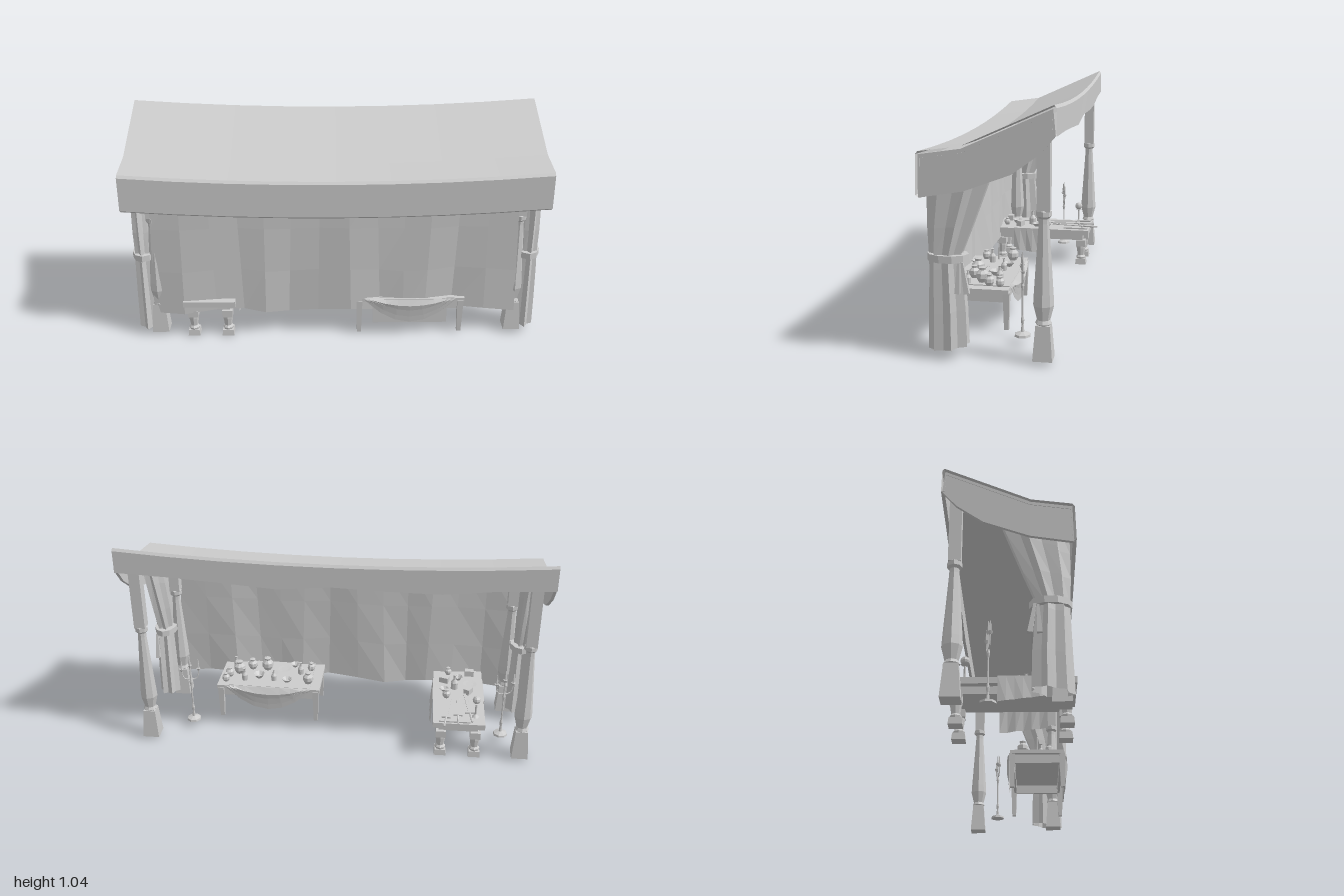
import * as THREE from 'three';

const mat = new THREE.MeshStandardMaterial({ color: 0xcccccc, flatShading: true, side: THREE.DoubleSide });

function add(parent, name, geo, x = 0, y = 0, z = 0) {
  const m = new THREE.Mesh(geo, mat);
  m.name = name;
  m.position.set(x, y, z);
  parent.add(m);
  return m;
}
function group(parent, name, x = 0, y = 0, z = 0) {
  const g = new THREE.Group();
  g.name = name;
  g.position.set(x, y, z);
  parent.add(g);
  return g;
}
const box = (w, h, d) => new THREE.BoxGeometry(w, h, d);
// square block, w0 wide at the bottom and w1 at the top, sides along the axes
const taper = (w0, w1, h) =>
  new THREE.CylinderGeometry(w1 * Math.SQRT1_2, w0 * Math.SQRT1_2, h, 4).rotateY(Math.PI / 4);
const lathe = (pts, n = 8) => new THREE.LatheGeometry(pts.map(p => new THREE.Vector2(...p)), n);

// skin between equal-length cross-sections
function loft(rows, closed) {
  const n = rows[0].length, idx = [];
  for (let i = 0; i < rows.length - 1; i++)
    for (let j = 0; j < (closed ? n : n - 1); j++) {
      const a = i * n + j, b = i * n + (j + 1) % n;
      idx.push(a, b, a + n, b, b + n, a + n);
    }
  const g = new THREE.BufferGeometry();
  g.setAttribute('position', new THREE.Float32BufferAttribute(rows.flat(2), 3));
  g.setIndex(idx);
  g.computeVertexNormals();
  return g;
}

// sagging canopy with a deep valance on every side
function canopy(root) {
  const g = group(root, 'canopy');
  const profile = [[-0.275, 0.92], [-0.273, 1.025], [-0.264, 1.037], [0.095, 0.875], [0.262, 0.852], [0.272, 0.84],
    [0.275, 0.68], [0.258, 0.668], [0.255, 0.825], [0.09, 0.85], [-0.255, 1.005], [-0.26, 0.92]];
  const rows = [];
  for (let i = 0; i <= 8; i++) {
    const t = -1 + i / 4, sag = 0.038 * (1 - t * t);
    rows.push(profile.map(([z, y], j) => {
      const hem = j === 0 || j === 11 ? 0.014 * Math.sin(i * 2.1) * (1 - t * t) : 0; // uneven back hem
      return [t * 0.99, y - sag + hem, z];
    }));
  }
  add(g, 'canopyRoof', loft(rows, true));
  const end = new THREE.Shape([[0.265, 0.67], [0.262, 0.84], [0.093, 0.865], [-0.26, 1.022],
    [-0.27, 0.92], [-0.21, 0.85], [-0.1, 0.77], [0.087, 0.7]].map(([z, y]) => new THREE.Vector2(-z, y)));
  for (const x of [-0.988, 0.974]) {
    const cap = add(g, 'endValance', new THREE.ExtrudeGeometry(end, { depth: 0.014, bevelEnabled: false }), x);
    cap.rotation.y = Math.PI / 2;
  }
}

// turned post with square plinth and square head
function post(root, name, x, z, top) {
  const g = group(root, name, x, 0, z);
  add(g, 'plinth', taper(0.08, 0.058, 0.145), 0, 0.0875, 0);
  add(g, 'baluster', lathe([[0.024, 0.155], [0.034, 0.165], [0.027, 0.18], [0.042, 0.24], [0.04, 0.28],
    [0.021, 0.57], [0.021, 0.59], [0.031, 0.6], [0.031, 0.62], [0.02, 0.63]]));
  add(g, 'postHead', box(0.052, top - 0.62, 0.052), 0, (top + 0.62) / 2, 0);
}

// pleated side curtain gathered by a tie
function curtain(root, side) {
  const g = group(root, 'sideCurtain');
  const levels = [[0.83, -0.07, 0.25, 0.042], [0.7, -0.02, 0.25, 0.046], [0.55, 0.05, 0.25, 0.046],
    [0.43, 0.1, 0.245, 0.042], [0.38, 0.1, 0.245, 0.046], [0.2, 0.085, 0.25, 0.052], [0.045, 0.08, 0.255, 0.054]];
  const rows = levels.map(([y, z0, z1, t]) => Array.from({ length: 14 }, (_, j) => {
    const a = j / 14 * Math.PI * 2, r = j % 2 ? 0.76 : 1, c = Math.cos(a);
    return [side * (0.92 + t * r * Math.sin(a)), y - c * (y > 0.6 ? 0.045 : 0.012), (z0 + z1) / 2 + (z1 - z0) / 2 * c * r];
  }));
  add(g, 'curtainCloth', loft(rows, true));
  const tie = add(g, 'curtainTie', new THREE.CylinderGeometry(1, 1, 0.03, 10), side * 0.915, 0.42, 0.168);
  tie.scale.set(0.056, 1, 0.085);
  for (const dz of [0, 0.025]) {
    const tail = add(g, 'tieTail', taper(0.022, 0.01, 0.13), side * 0.95, 0.345, 0.095 + dz);
    tail.rotation.x = 0.15 - dz * 8;
  }
}

// hanging sheet in front of the low posts, with uneven broad folds
function backdrop(root) {
  const geo = new THREE.PlaneGeometry(1.7, 0.66, 13, 3);
  const p = geo.attributes.position;
  for (let i = 0; i < p.count; i++) {
    const x = p.getX(i), d = 0.5 - p.getY(i) / 0.66;
    p.setX(i, x + 0.025 * d * Math.sin(x * 9));
    p.setZ(i, 0.014 * (Math.sin(x * 17 + d) + 0.5 * Math.sin(x * 41)) * (0.25 + 0.75 * d));
    p.setY(i, p.getY(i) + d * 0.012 * Math.sin(x * 11 + 1));
  }
  add(root, 'backdropSheet', geo, -0.01, 0.46, 0.24);
}

// three-armed candle stand
function candleStand(root, x, z) {
  const g = group(root, 'candleStand', x, 0.035, z);
  g.rotation.y = Math.PI / 6;
  add(g, 'standStem', lathe([[0, 0], [0.036, 0], [0.034, 0.01], [0.008, 0.02], [0.005, 0.05], [0.008, 0.07],
    [0.004, 0.09], [0.004, 0.2], [0.008, 0.22], [0.004, 0.24], [0.004, 0.31], [0, 0.31]]));
  for (const s of [-1, 1]) {
    const arm = new THREE.QuadraticBezierCurve3(new THREE.Vector3(0, 0.24, 0),
      new THREE.Vector3(s * 0.04, 0.22, s * 0.012), new THREE.Vector3(s * 0.04, 0.29, s * 0.012));
    add(g, 'standArm', new THREE.TubeGeometry(arm, 5, 0.003, 5));
  }
  for (const s of [-1, 0, 1]) {
    const y = s ? 0.29 : 0.31;
    add(g, 'candleCup', new THREE.CylinderGeometry(0.011, 0.005, 0.012, 6), s * 0.04, y, s * 0.012);
    add(g, 'candle', new THREE.CylinderGeometry(0.002, 0.006, 0.05, 6), s * 0.04, y + 0.03, s * 0.012);
  }
}

// small wares
const wares = {
  jar: () => lathe([[0, 0], [0.015, 0], [0.025, 0.018], [0.024, 0.035], [0.012, 0.047], [0.015, 0.056], [0, 0.058]]),
  bottle: () => lathe([[0, 0], [0.015, 0], [0.016, 0.03], [0.006, 0.045], [0.005, 0.062], [0.008, 0.066], [0, 0.066]]),
  bowl: () => lathe([[0, 0], [0.012, 0], [0.028, 0.02], [0.024, 0.02], [0.01, 0.007], [0, 0.007]]),
  plate: () => lathe([[0, 0], [0.02, 0], [0.033, 0.007], [0.018, 0.006], [0, 0.006]], 10),
  chest: () => box(0.045, 0.03, 0.03).translate(0, 0.015, 0),
};
function place(g, y, list) {
  list.forEach(([kind, x, z, s = 1], i) => {
    const m = add(g, kind, wares[kind](), x, y, z);
    m.scale.setScalar(s);
    m.rotation.y = i * 0.7;
  });
}

// plain long table with swagged cloth
function longTable(root) {
  const g = group(root, 'longTable', 0.355, 0, 0.115);
  add(g, 'tableTop', box(0.53, 0.018, 0.265), 0, 0.185, 0);
  for (const s of [-1, 1]) {
    add(g, 'longApron', box(0.47, 0.045, 0.012), 0, 0.155, s * 0.115);
    add(g, 'endApron', box(0.012, 0.045, 0.23), s * 0.24, 0.155, 0);
    for (const t of [-1, 1]) add(g, 'tableLeg', taper(0.02, 0.03, 0.17), s * 0.245, 0.095, t * 0.122);
    // each layer hangs in a deeper arc
    for (let k = 0; k < 3; k++) {
      const half = 0.215 - k * 0.02, rows = [];
      for (let i = 0; i <= 6; i++) {
        const t = -1 + i / 3, drop = (1 - t * t) * (0.055 + (2 - k) * 0.03) + 0.012;
        const bulge = 0.004 + k * 0.004 + 0.007 * (1 - t * t);
        rows.push([[t * half, 0.197, s * 0.1], [t * half, 0.197, s * 0.135], [t * half, 0.197 - drop * 0.5, s * (0.135 + bulge)],
          [t * half, 0.197 - drop, s * (0.134 + bulge * 0.7)]]);
      }
      add(g, 'clothSwag', loft(rows, false));
    }
  }
  add(g, 'tableCloth', box(0.43, 0.005, 0.26), 0, 0.196, 0);
  add(g, 'clothPanel', box(0.36, 0.13, 0.004), 0, 0.13, 0.136);
  place(g, 0.198, [['jar', -0.2, -0.07, 1.1], ['bottle', -0.15, 0.02], ['jar', -0.2, 0.06, 0.8], ['bowl', -0.09, -0.07],
    ['plate', -0.06, 0.05, 1.1], ['bottle', -0.02, -0.06, 0.9], ['jar', 0.03, 0.05, 1.2], ['bowl', 0.06, -0.04, 1.2],
    ['jar', 0.11, 0.05], ['bottle', 0.13, -0.07], ['jar', 0.17, 0, 1.2], ['bottle', 0.2, 0.06, 0.9], ['jar', 0.215, -0.04, 0.9],
    ['jar', 0.225, -0.09, 0.8], ['plate', 0, 0, 1], ['bowl', -0.11, 0.09, 0.9]]);
  add(g, 'taperCandle', new THREE.CylinderGeometry(0.002, 0.005, 0.09, 5), -0.2, 0.24, 0.0);
}

// heavy table with block-footed legs, runner and blades
function heavyTable(root) {
  const g = group(root, 'heavyTable', -0.613, 0, 0.008);
  add(g, 'tableTop', box(0.25, 0.028, 0.53), 0, 0.182, 0);
  add(g, 'tableFrame', box(0.19, 0.035, 0.46), 0, 0.152, 0);
  for (const s of [-1, 1]) for (const t of [-1, 1]) {
    const leg = group(g, 'tableLeg', s * 0.083, 0, t * 0.222);
    add(leg, 'legFoot', taper(0.058, 0.052, 0.03), 0, 0.015, 0);
    add(leg, 'legShaft', lathe([[0.024, 0.03], [0.026, 0.04], [0.018, 0.05], [0.024, 0.09], [0.024, 0.105]]));
    add(leg, 'legHead', box(0.05, 0.035, 0.05), 0, 0.118, 0);
  }
  // runner across the table, hanging on both sides with a slanted hem
  const rows = [];
  for (let i = 0; i <= 6; i++) {
    const z = -0.055 + i * 0.034, w = 0.004 * (i % 2), hem = 0.055 + i * 0.004;
    rows.push([[-0.132 - w, hem + 0.03, z], [-0.128, 0.199, z], [0.128, 0.199, z], [0.132 + w * 2, hem, z]]);
  }
  add(g, 'tableRunner', loft(rows, false));
  for (let i = 0; i < 3; i++) {
    const blade = group(g, 'blade', -0.05 + i * 0.055, 0.208, -0.16 - i * 0.025);
    blade.rotation.y = (1 - i) * 0.12;
    add(blade, 'bladeEdge', box(0.013, 0.004, 0.17), 0, 0, 0.07);
    add(blade, 'bladeGuard', box(0.045, 0.008, 0.008), 0, 0, -0.018);
    add(blade, 'bladeGrip', new THREE.CylinderGeometry(0.005, 0.005, 0.08, 6).rotateX(Math.PI / 2), 0, 0, -0.06);
  }
  add(g, 'displayTray', box(0.15, 0.03, 0.13), 0.02, 0.188, -0.19);
  place(g, 0.198, [['chest', -0.06, 0.2], ['jar', 0.05, 0.2, 0.7], ['bowl', 0, 0.15], ['plate', -0.06, 0.1, 1.1], ['chest', 0.07, 0.12],
    ['bottle', 0.02, 0.06, 1.2], ['chest', -0.05, 0.02], ['bowl', 0.07, 0.03, 0.9], ['jar', 0.06, -0.03, 0.8], ['plate', -0.02, -0.07]]);
  const stand = group(g, 'displayStand', -0.08, 0.195, -0.19);
  add(stand, 'standFoot', lathe([[0, 0], [0.02, 0], [0.005, 0.015], [0.005, 0.07], [0.018, 0.078], [0, 0.08]]));
  add(stand, 'standOrb', new THREE.SphereGeometry(0.02, 8, 6), 0, 0.095, 0);
}

export function createModel() {
  const model = new THREE.Group();
  model.name = 'marketPavilion';
  const root = group(model, 'pavilion');
  root.rotation.y = -Math.PI / 6;
  canopy(root);
  backdrop(root);
  for (const s of [-1, 1]) {
    post(root, 'tallPost', s * 0.914, -0.216, 0.95);
    post(root, 'lowPost', s * 0.86, 0.205, 0.83);
    curtain(root, s);
  }
  candleStand(root, 0.73, -0.1);
  candleStand(root, -0.83, -0.08);
  longTable(root);
  heavyTable(root);
  return model;
}
